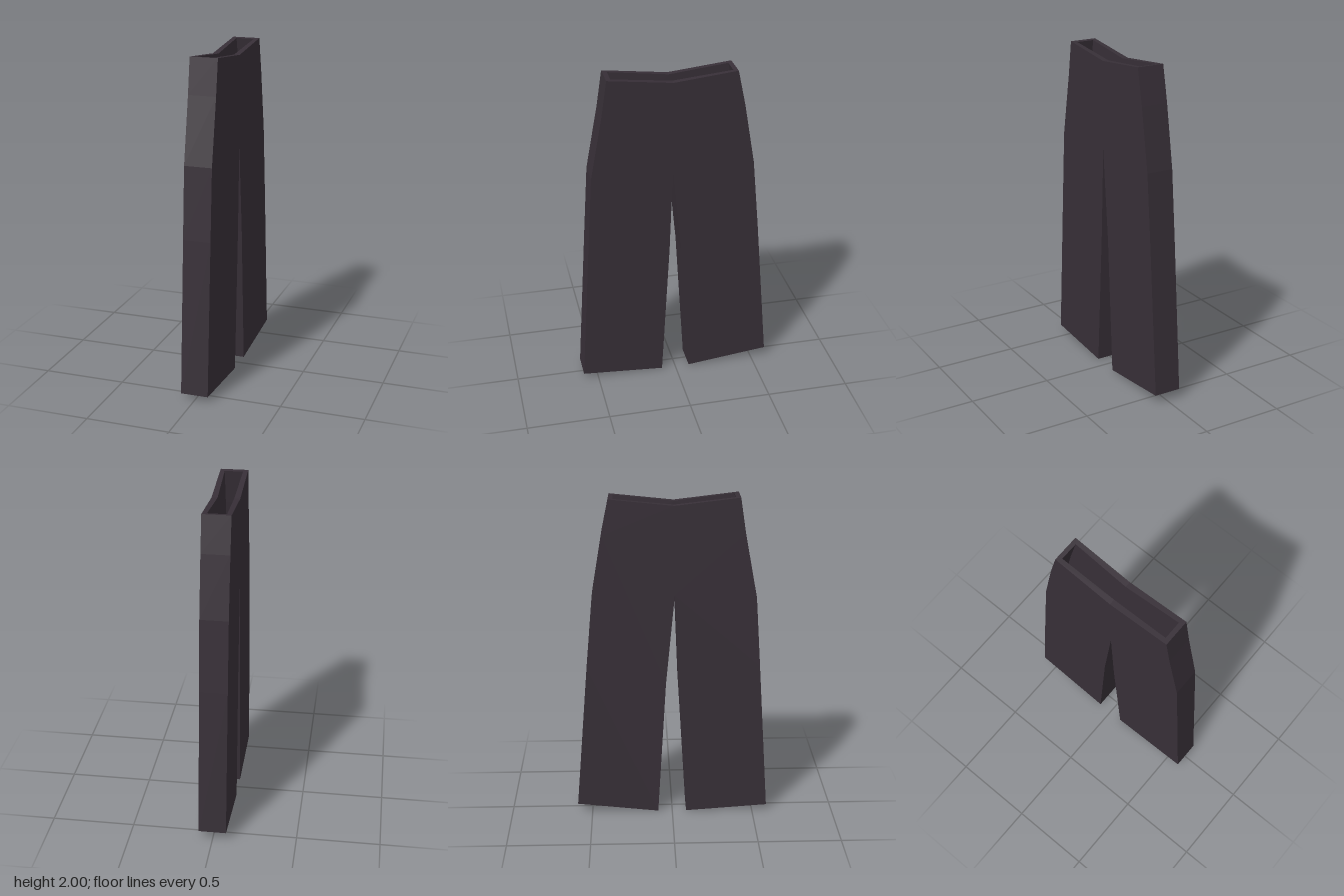
import * as THREE from 'three';

const HALF = 0.083;

// Side profile: outer z, outer y, inner z, inner y, inner half width.
// Runs along the waist, down the back, round both legs and up the front.
const PROFILE = [
  [0.395, 2.0, 0.367, 1.997, 0.055],    // 0 front waist
  [0.012, 1.955, 0.012, 1.955, 0.048],  // 1 waist dip
  [-0.367, 1.995, -0.342, 1.992, 0.055], // 2 back waist
  [-0.412, 1.78, -0.386, 1.78, 0.053],
  [-0.475, 1.41, -0.449, 1.41, 0.051],
  [-0.515, 0.97, -0.489, 0.97, 0.051],
  [-0.59, 0.06, -0.562, 0.057, 0.055],  // 6 back hem, outside
  [-0.088, 0.003, -0.115, 0.006, 0.055], // 7 back hem, inside
  [-0.038, 0.86, -0.064, 0.86, 0.05],
  [0.015, 1.42, 0.012, 1.5, 0.048],     // 9 crotch
  [0.036, 0.88, 0.062, 0.88, 0.05],
  [0.087, 0.003, 0.11, 0.005, 0.055],   // 11 front hem, inside
  [0.59, 0.037, 0.564, 0.035, 0.055],   // 12 front hem, outside
  [0.529, 0.97, 0.503, 0.97, 0.051],
  [0.5, 1.4, 0.474, 1.4, 0.051],
  [0.427, 1.79, 0.4, 1.79, 0.053],
];
const OPEN_EDGES = [0, 1, 6, 11]; // edges left open at waist and hems

const outer = (i, side) => [side * HALF, PROFILE[i][1], PROFILE[i][0]];
const inner = (i, side) => [side * PROFILE[i][4], PROFILE[i][3], PROFILE[i][2]];

function toGeometry(triangles) {
  const g = new THREE.BufferGeometry();
  g.setAttribute('position', new THREE.Float32BufferAttribute(triangles.flat(2), 3));
  g.computeVertexNormals();
  return g;
}

// Two flat panels joined by a strip along every closed edge
function shell(point, inward) {
  const tris = [];
  const add = (a, b, c) => tris.push(inward ? [a, c, b] : [a, b, c]);
  const contour = PROFILE.map((_, i) => new THREE.Vector2(point(i, 1)[2], point(i, 1)[1]));
  for (const [a, b, c] of THREE.ShapeUtils.triangulateShape(contour, [])) {
    add(point(a, -1), point(b, -1), point(c, -1));
    add(point(a, 1), point(c, 1), point(b, 1));
  }
  PROFILE.forEach((_, i) => {
    if (OPEN_EDGES.includes(i)) return;
    const j = (i + 1) % PROFILE.length;
    add(point(i, -1), point(i, 1), point(j, 1));
    add(point(i, -1), point(j, 1), point(j, -1));
  });
  return toGeometry(tris);
}

// Cloth thickness around an opening
function rim(path) {
  const loop = [...path.map(i => [i, 1]), ...[...path].reverse().map(i => [i, -1])];
  const tris = [];
  loop.forEach((p, k) => {
    const q = loop[(k + 1) % loop.length];
    tris.push([outer(...p), outer(...q), inner(...q)], [outer(...p), inner(...q), inner(...p)]);
  });
  return toGeometry(tris);
}

export function createModel() {
  const cloth = new THREE.MeshStandardMaterial({ color: 0x372f37, flatShading: true });
  cloth.name = 'darkCloth';
  const group = new THREE.Group();
  group.name = 'trousers';
  const add = (name, geometry) => {
    const mesh = new THREE.Mesh(geometry, cloth);
    mesh.name = name;
    group.add(mesh);
  };
  add('outerCloth', shell(outer, false));
  add('lining', shell(inner, true));
  add('waistRim', rim([0, 1, 2]));
  add('backHem', rim([6, 7]));
  add('frontHem', rim([11, 12]));
  return group;
}
